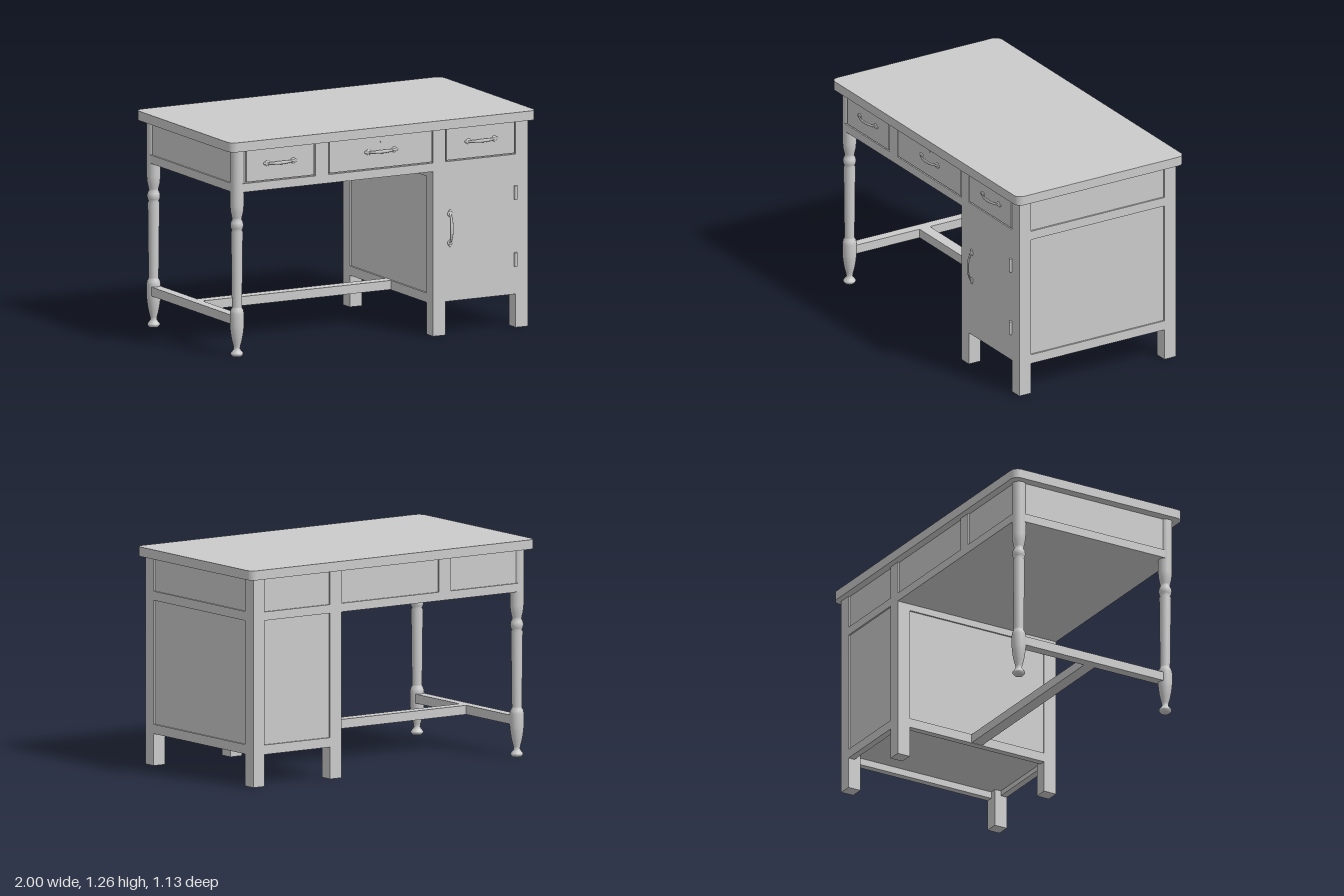
import * as THREE from 'three';

export function createModel() {
  const model = new THREE.Group();
  const grey = new THREE.MeshStandardMaterial({ color: 0xcccccc });

  const add = (name, geometry, parent = model) => {
    const mesh = new THREE.Mesh(geometry, grey);
    mesh.name = name;
    parent.add(mesh);
    return mesh;
  };
  // Box given by its extents on each axis
  const box = (name, x0, x1, y0, y1, z0, z1) => {
    const mesh = add(name, new THREE.BoxGeometry(x1 - x0, y1 - y0, z1 - z0));
    mesh.position.set((x0 + x1) / 2, (y0 + y1) / 2, (z0 + z1) / 2);
    return mesh;
  };

  // Table top with rounded corners
  const X = 1, Z = 0.565, R = 0.045;
  const outline = new THREE.Shape();
  outline.absarc(X - R, Z - R, R, 0, Math.PI / 2);
  outline.absarc(-X + R, Z - R, R, Math.PI / 2, Math.PI);
  outline.absarc(-X + R, -Z + R, R, Math.PI, Math.PI * 1.5);
  outline.absarc(X - R, -Z + R, R, Math.PI * 1.5, Math.PI * 2);
  const top = add('tableTop', new THREE.ExtrudeGeometry(outline, { depth: 0.055, bevelEnabled: false, curveSegments: 8 }));
  top.rotation.x = -Math.PI / 2;
  top.position.y = 1.205;

  // Recessed bodies behind the frames
  const T = 1.205;
  box('drawerCase', -0.945, 0.95, 0.96, T, -0.52, 0.515);
  box('cabinetBody', 0.35, 0.95, 0.225, 0.97, -0.52, 0.515);

  // Square cabinet posts
  for (const x of [0.34, 0.88]) {
    for (const z of [-0.53, 0.45]) box('cabinetPost', x, x + 0.08, 0, T, z, z + 0.08);
  }

  // Frame rails and dividers on front and back
  for (const s of [1, -1]) {
    const z0 = s > 0 ? 0.5 : -0.53, z1 = z0 + 0.03;
    box('apronRail', -0.92, 0.345, 0.96, 1.01, z0, z1);
    box('cabinetUpperRail', 0.42, 0.88, 0.96, 1.01, z0, z1);
    box('drawerDivider', -0.43, -0.345, 1.01, T, z0, z1);
  }
  box('cabinetBackRail', 0.42, 0.88, 0.185, 0.24, -0.53, -0.49);
  box('door', 0.42, 0.88, 0.195, 0.96, 0.49, 0.53);

  // Frame rails on the sides
  for (const x of [0.34, 0.92]) box('cabinetSideRail', x, x + 0.04, 0.185, 0.24, -0.45, 0.45);
  box('cabinetInnerRail', 0.34, 0.38, 0.92, 0.96, -0.45, 0.45);
  box('cabinetOuterRail', 0.92, 0.96, 0.957, 1.01, -0.45, 0.45);
  box('leftApronRail', -0.955, -0.92, 0.96, 1.01, -0.49, 0.49);

  // Drawer fronts, each set off by a narrow gap
  const gap = 0.007;
  for (const [x0, x1] of [[-0.885, -0.43], [-0.345, 0.34], [0.42, 0.88]]) {
    box('drawerFront', x0 + gap, x1 - gap, 1.01 + gap, T, 0.5, 0.53);
  }

  // Turned legs
  const profile = [
    [0, 0], [0.026, 0], [0.036, 0.012], [0.036, 0.02], [0.026, 0.032], [0.018, 0.045],
    [0.02, 0.06], [0.028, 0.09], [0.034, 0.12], [0.038, 0.15], [0.041, 0.18], [0.041, 0.25],
    [0.037, 0.27], [0.029, 0.283], [0.029, 0.29], [0.034, 0.725], [0.028, 0.735],
    [0.035, 0.748], [0.038, 0.765], [0.035, 0.782], [0.027, 0.797], [0.029, 0.81],
    [0.036, 0.84], [0.04, 0.88], [0.04, T],
  ].map(([r, y]) => new THREE.Vector2(r, y));
  for (const z of [0.49, -0.49]) {
    add('turnedLeg', new THREE.LatheGeometry(profile, 32)).position.set(-0.92, 0, z);
  }

  // Stretchers
  box('sideStretcher', -0.95, -0.89, 0.187, 0.24, -0.48, 0.48);
  box('longStretcher', -0.89, 0.35, 0.187, 0.24, -0.035, 0.035);

  // Bow handle with flattened bulb ends, lying along x
  const handle = (name, x, y, vertical) => {
    const group = new THREE.Group();
    group.name = name;
    const bow = new THREE.CatmullRomCurve3([
      [-0.088, 0.002], [-0.07, 0.012], [-0.04, 0.021], [0, 0.024],
      [0.04, 0.021], [0.07, 0.012], [0.088, 0.002],
    ].map(([px, pz]) => new THREE.Vector3(px, 0, pz)));
    const grip = new THREE.TubeGeometry(bow, 32, 0.004, 10);
    const p = grip.attributes.position;
    // Widen the grip towards its middle
    for (let i = 0; i < p.count; i++) p.setY(i, p.getY(i) * (1.4 + 1.2 * Math.cos(p.getX(i) * 17) ** 2));
    grip.computeVertexNormals();
    add('grip', grip, group);
    for (const s of [-1, 1]) {
      const bulb = add('handleEnd', new THREE.SphereGeometry(1, 16, 10), group);
      bulb.scale.set(0.016, 0.017, 0.006);
      bulb.position.x = s * 0.084;
      const tip = add('handleTip', new THREE.SphereGeometry(1, 12, 8), group);
      tip.scale.set(0.009, 0.009, 0.005);
      tip.position.x = s * 0.1;
    }
    group.position.set(x, y, 0.531);
    if (vertical) group.rotation.z = Math.PI / 2;
    model.add(group);
  };
  for (const x of [-0.66, 0, 0.655]) handle('drawerHandle', x, 1.115, false);
  handle('doorHandle', 0.45, 0.62, true);

  // Keyhole plate on the middle drawer
  const keyhole = add('keyholePlate', new THREE.CylinderGeometry(0.006, 0.006, 0.005, 16));
  keyhole.rotation.x = Math.PI / 2;
  keyhole.position.set(0, 1.17, 0.531);

  // Door hinges
  for (const y of [0.398, 0.788]) {
    add('hinge', new THREE.CylinderGeometry(0.01, 0.01, 0.08, 20)).position.set(0.877, y, 0.537);
  }

  return model;
}
